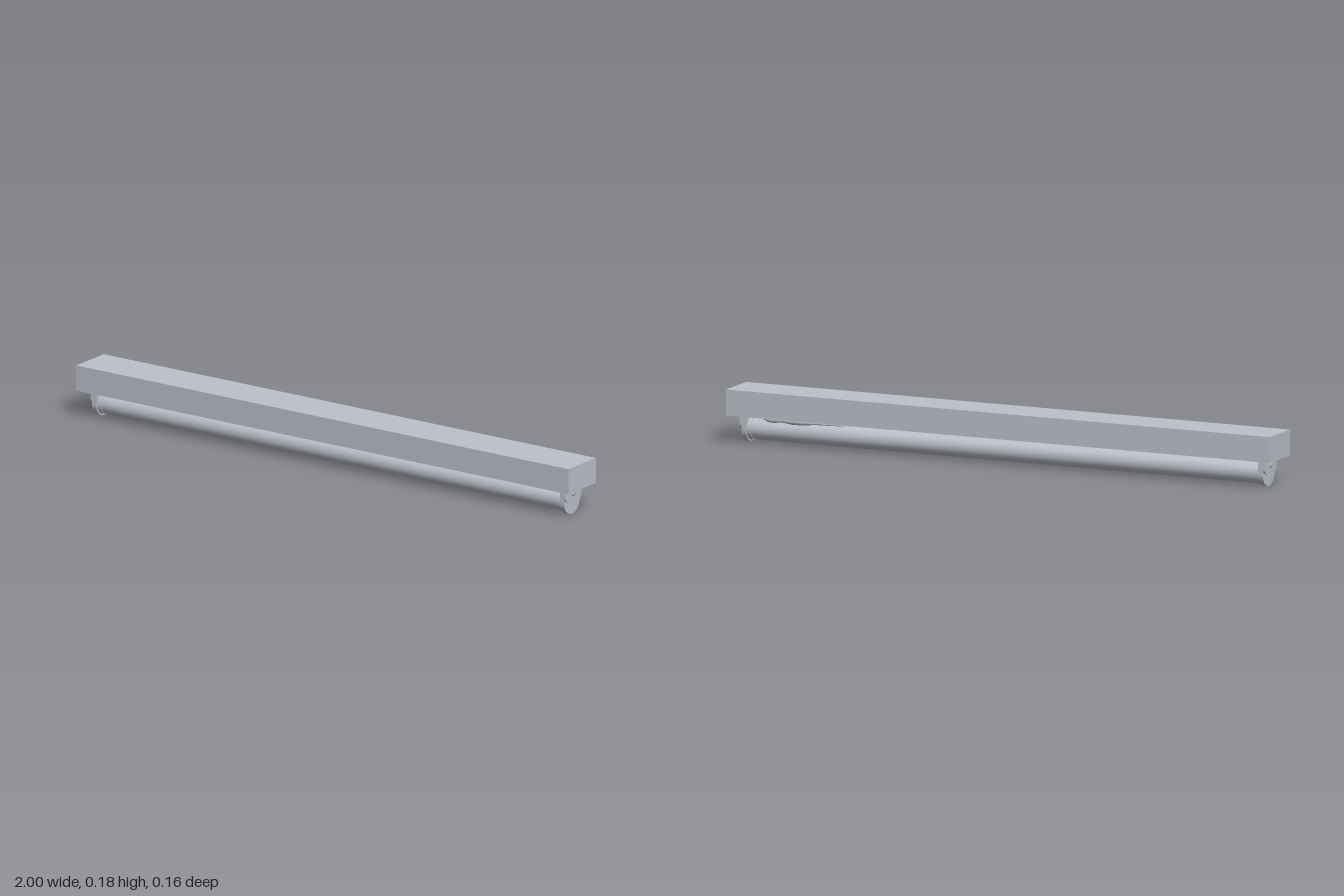
import * as THREE from 'three';

export function createModel() {
  const group = new THREE.Group();
  const grey = new THREE.MeshStandardMaterial({ color: 0xbcc0c9 });
  grey.name = 'painted grey';

  const add = (geometry, name, parent = group) => {
    const mesh = new THREE.Mesh(geometry, grey);
    mesh.name = name;
    parent.add(mesh);
    return mesh;
  };

  // Ceiling housing
  add(new THREE.BoxGeometry(2, 0.087, 0.156), 'housing').position.y = 0.1365;

  // Lamp tube
  const tube = add(new THREE.CylinderGeometry(0.037, 0.037, 1.87, 40), 'lampTube');
  tube.rotation.z = Math.PI / 2;
  tube.position.y = 0.044;

  // Upright plate with a round bottom, turned to face along x
  const plate = (halfWidth, centreY, drop, depth) => {
    const shape = new THREE.Shape();
    shape.moveTo(halfWidth, 0.094);
    shape.lineTo(-halfWidth, 0.094);
    shape.lineTo(-halfWidth, centreY);
    shape.absellipse(0, centreY, halfWidth, drop, Math.PI, Math.PI * 2, false);
    shape.closePath();
    const geometry = new THREE.ExtrudeGeometry(shape, { depth, bevelEnabled: false, curveSegments: 24 });
    return geometry.rotateY(Math.PI / 2);
  };

  // A lamp holder at each end: socket plate, raised upper boss, knob and tube cap
  for (const side of [1, -1]) {
    const holder = new THREE.Group();
    holder.name = side > 0 ? 'leftHolder' : 'rightHolder';
    if (side < 0) holder.rotation.y = Math.PI;
    add(plate(0.045, 0.045, 0.045, 0.017), 'socketPlate', holder).position.x = 0.942;
    add(plate(0.045, 0.06, 0.02, 0.008), 'socketBoss', holder).position.x = 0.958;
    const knob = add(new THREE.SphereGeometry(0.014, 24, 16), 'knob', holder);
    knob.position.set(0.965, 0.075, 0);
    knob.scale.x = 0.4;
    const cap = add(new THREE.CylinderGeometry(0.039, 0.039, 0.015, 40), 'tubeCap', holder);
    cap.rotation.z = Math.PI / 2;
    cap.position.set(0.936, 0.044, 0);
    group.add(holder);
  }

  // Small tapering lump tucked under the rear of the housing
  const profile = [[0, 0.88], [0.008, 0.86], [0.01, 0.84], [0.006, 0.81], [0.011, 0.77],
    [0.01, 0.73], [0.005, 0.69], [0.003, 0.62], [0, 0.55]].reverse();
  const lump = new THREE.LatheGeometry(profile.map(([r, x]) => new THREE.Vector2(r, x)), 14);
  lump.rotateZ(-Math.PI / 2);
  add(lump, 'rearLump').position.set(0, 0.085, -0.045);

  return group;
}
